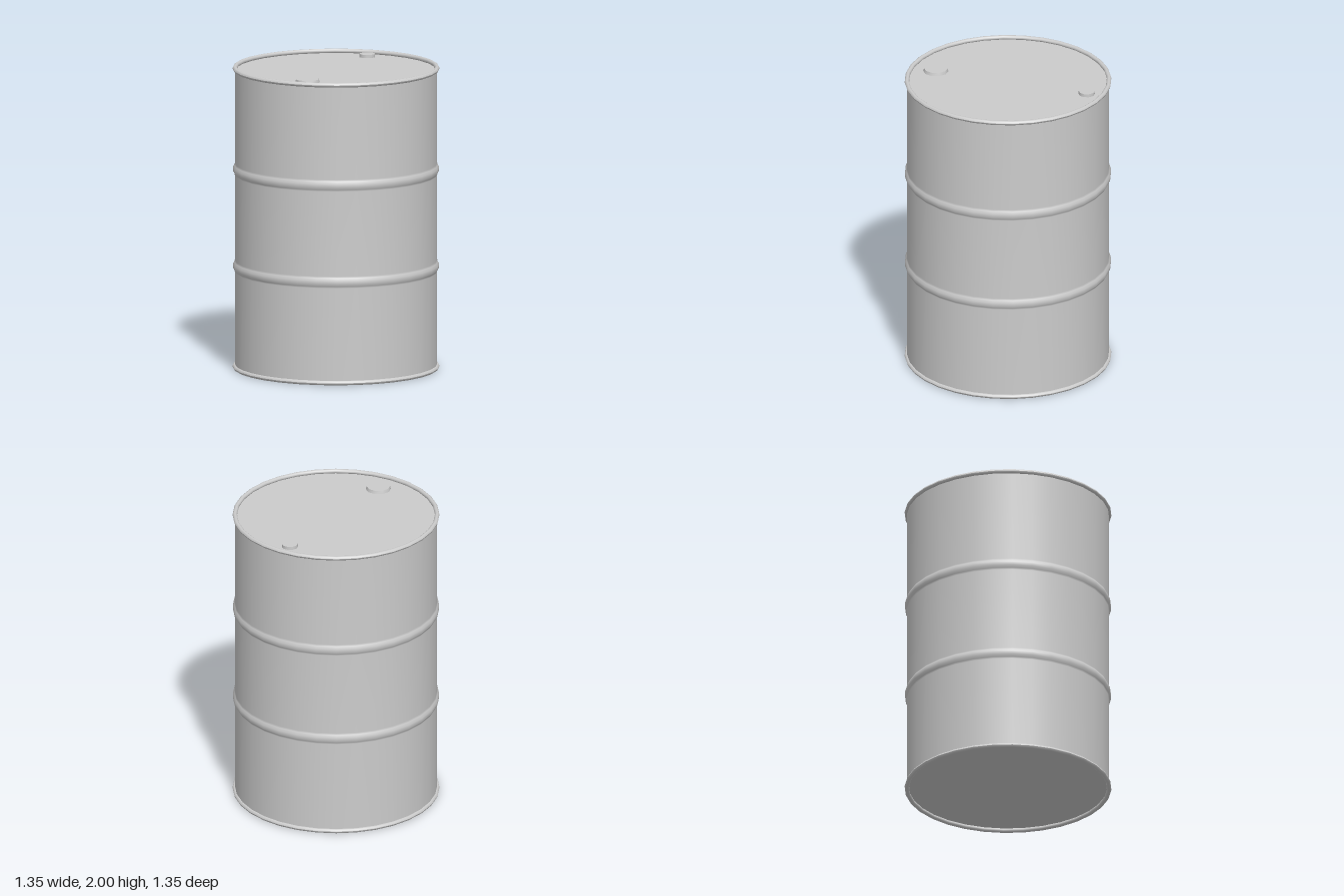
import * as THREE from 'three';
import { toCreasedNormals } from 'three/addons/utils/BufferGeometryUtils.js';

const SIDES = 32;
const R = 0.66; // wall radius

export function createModel() {
  const group = new THREE.Group();
  const material = new THREE.MeshStandardMaterial({ color: 0xcccccc });

  const add = (name, geometry, x = 0, y = 0, z = 0) => {
    const mesh = new THREE.Mesh(geometry, material);
    mesh.name = name;
    mesh.position.set(x, y, z);
    group.add(mesh);
    return mesh;
  };

  // Wall with two shallow rolling hoops
  const profile = [[R, 0.015]];
  for (const y of [0.68, 1.32]) {
    profile.push([R, y - 0.04], [R + 0.004, y - 0.027], [R + 0.013, y - 0.012],
      [R + 0.013, y + 0.012], [R + 0.004, y + 0.027], [R, y + 0.04]);
  }
  profile.push([R, 1.985]);
  add('wall', new THREE.LatheGeometry(profile.map(([r, y]) => new THREE.Vector2(r, y)), SIDES));

  // Rolled rims at both ends
  const ring = [];
  for (let i = 0; i <= 10; i++) {
    const t = (i / 10) * Math.PI * 2;
    ring.push(new THREE.Vector2(R + 0.015 * Math.cos(t), 0.015 * Math.sin(t)));
  }
  const rim = new THREE.LatheGeometry(ring, SIDES);
  add('topRim', rim, 0, 1.985);
  add('bottomRim', rim, 0, 0.015);

  // Slightly recessed end plates
  const plate = new THREE.CircleGeometry(R, SIDES);
  add('lid', plate, 0, 1.972).rotation.x = -Math.PI / 2;
  add('base', plate, 0, 0.028).rotation.x = Math.PI / 2;

  // Bung caps on the lid, the large one tapered
  const cap = (name, top, bottom, z) => {
    const geometry = new THREE.CylinderGeometry(top, bottom, 0.024, 10);
    geometry.rotateY(Math.PI / 10);
    add(name, toCreasedNormals(geometry, Math.PI / 4), 0, 1.981, z);
  };
  cap('largeCap', 0.077, 0.083, 0.5);
  cap('smallCap', 0.052, 0.053, -0.545);

  return group;
}
